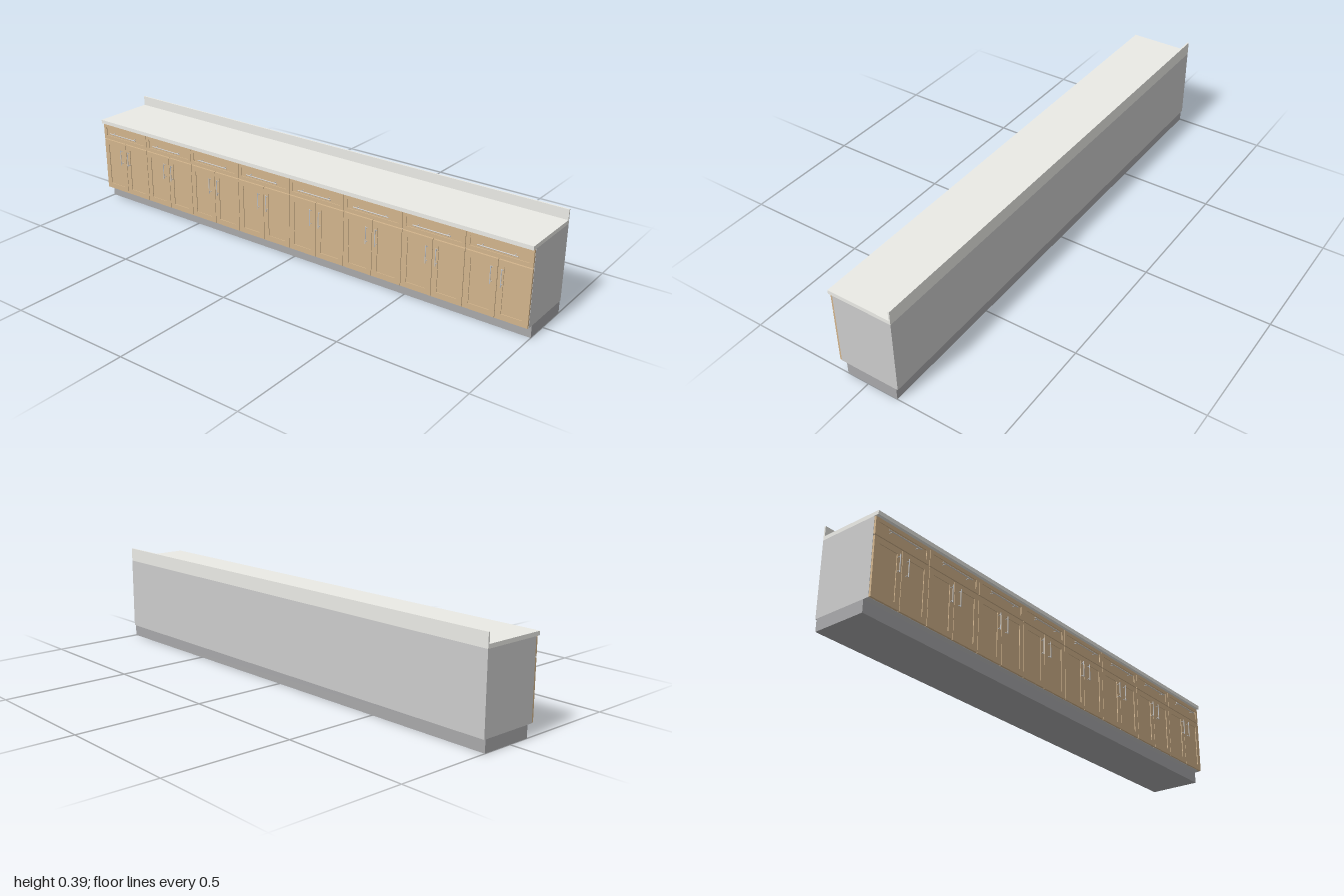
import * as THREE from 'three';

const mat = (color) => new THREE.MeshStandardMaterial({ color });
const grey = mat(0xcccccc);
const wood = mat(0xd2b48c);
const stone = mat(0xebebe6);
const plinth = mat(0xa8a8aa);

// Box given by its minimum and maximum corners
function block(name, material, [x0, y0, z0], [x1, y1, z1]) {
  const mesh = new THREE.Mesh(new THREE.BoxGeometry(x1 - x0, y1 - y0, z1 - z0), material);
  mesh.position.set((x0 + x1) / 2, (y0 + y1) / 2, (z0 + z1) / 2);
  mesh.name = name;
  return mesh;
}

// Framed front with a recessed centre panel
function framedFront(name, x0, x1, y0, y1, rail) {
  const back = 0.11, face = 0.118, recess = 0.003;
  const shape = new THREE.Shape([[x0, y0], [x1, y0], [x1, y1], [x0, y1]].map((p) => new THREE.Vector2(...p)));
  const a = x0 + rail, b = x1 - rail, c = y0 + rail, d = y1 - rail;
  shape.holes.push(new THREE.Path([[a, c], [a, d], [b, d], [b, c]].map((p) => new THREE.Vector2(...p))));
  const frame = new THREE.Mesh(
    new THREE.ExtrudeGeometry(shape, { depth: face - back, bevelEnabled: false }), wood);
  frame.position.z = back;
  frame.name = name + 'Frame';
  const group = new THREE.Group();
  group.name = name;
  group.add(frame, block(name + 'Panel', wood, [a, c, back], [b, d, face - recess]));
  return group;
}

// Bar handle on two posts, lying along x
function barHandle(name, length, postSpacing, panelZ) {
  const group = new THREE.Group();
  group.name = name;
  const bar = new THREE.Mesh(new THREE.CylinderGeometry(0.0018, 0.0018, length, 12), grey);
  bar.rotation.z = Math.PI / 2;
  bar.position.z = 0.1302;
  bar.name = 'handleBar';
  group.add(bar);
  for (const s of [-1, 1]) {
    const depth = 0.1302 - panelZ;
    const post = new THREE.Mesh(new THREE.CylinderGeometry(0.0014, 0.0014, depth, 10), grey);
    post.rotation.x = Math.PI / 2;
    post.position.set(s * postSpacing / 2, 0, panelZ + depth / 2);
    post.name = 'handlePost';
    group.add(post);
  }
  return group;
}

export function createModel() {
  const model = new THREE.Group();
  model.name = 'baseCabinetRun';

  // Carcass, plinth, worktop and upstand
  model.add(
    block('plinth', plinth, [-1, 0, -0.124], [1, 0.047, 0.088]),
    block('carcass', grey, [-1, 0.047, -0.13], [1, 0.34, 0.11]),
    block('worktop', stone, [-1, 0.34, -0.13], [1, 0.355, 0.128]),
    block('backsplash', stone, [-1, 0.355, -0.13], [1, 0.394, -0.124]),
  );

  // Eight units, each with one drawer above a pair of doors
  const count = 8, width = 2 / count, gap = 0.001;
  for (let i = 0; i < count; i++) {
    const cx = -1 + width * (i + 0.5);
    const unit = new THREE.Group();
    unit.name = 'unit' + (i + 1);
    unit.position.x = cx;
    const h = width / 2 - gap;

    unit.add(framedFront('drawer', -h, h, 0.272, 0.338, 0.015));
    const drawerHandle = barHandle('drawerHandle', 0.15, 0.12, 0.114);
    drawerHandle.position.y = 0.304;
    unit.add(drawerHandle);

    for (const s of [-1, 1]) {
      const name = s < 0 ? 'rightDoor' : 'leftDoor';
      unit.add(framedFront(name, s < 0 ? -h : gap, s < 0 ? -gap : h, 0.048, 0.268, 0.022));
      const handle = barHandle(name + 'Handle', 0.067, 0.053, 0.117);
      handle.rotation.z = Math.PI / 2;
      handle.position.set(s * 0.02, 0.2085, 0);
      unit.add(handle);
    }
    model.add(unit);
  }
  return model;
}
